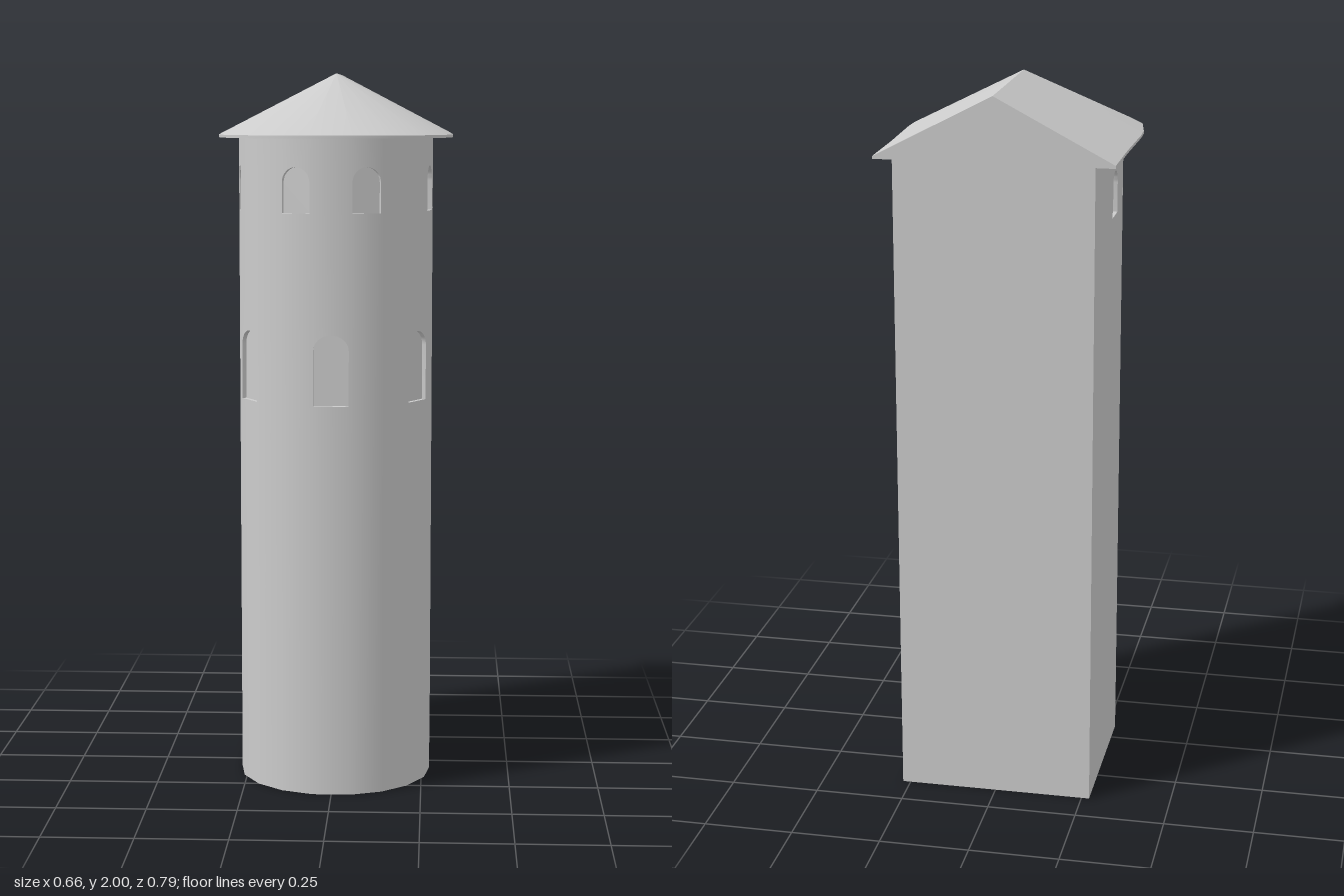
import * as THREE from 'three';
import { toCreasedNormals } from 'three/addons/utils/BufferGeometryUtils.js';

const BACK = -0.396, EAVE = 1.822, FASCIA = 0.008, RECESS = 0.012;
const wallMat = new THREE.MeshStandardMaterial({ color: 0xcccccc });
const revealMat = new THREE.MeshStandardMaterial({ color: 0xcccccc, side: THREE.DoubleSide });

// Plan outline [x, z], right back corner round the front to left back corner
const mirrored = (half) => [...half.map(([x, z]) => [-x, z]).reverse(), ...half];
const wallPlan = mirrored([[0.053, 0.345], [0.14, 0.312], [0.21, 0.252], [0.258, 0.167],
  [0.272, 0.073], [0.272, -0.015], [0.272, BACK]]);
const roofPlan = mirrored([[0.06, 0.396], [0.165, 0.357], [0.252, 0.285], [0.309, 0.186],
  [0.328, 0.08], [0.33, 0.02], [0.325, -0.2], [0.325, BACK]]);

function trianglesGeometry(tris) {
  const geo = new THREE.BufferGeometry();
  geo.setAttribute('position', new THREE.Float32BufferAttribute(tris.flat(2), 3));
  geo.computeVertexNormals();
  return geo;
}

// Round-headed window outline centred on u
function archPath(u, w, y0, y1) {
  const r = w / 2, spring = y1 - 0.042;
  const path = new THREE.Path();
  path.moveTo(u - r, y0);
  path.lineTo(u + r, y0);
  path.lineTo(u + r, spring);
  path.absellipse(u, spring, r, 0.042, 0, Math.PI, false);
  path.closePath();
  return path;
}

// Pane set back in the wall, with the reveal around it
function recessedWindow(arch) {
  const group = new THREE.Group();
  group.name = 'window';
  const pts = arch.getPoints(8);
  const pane = new THREE.Mesh(new THREE.ShapeGeometry(new THREE.Shape(pts)), wallMat);
  pane.name = 'windowPane';
  pane.position.z = -RECESS;
  const tris = [];
  pts.forEach((p, i) => {
    const q = pts[(i + 1) % pts.length];
    if (p.distanceTo(q) < 1e-6) return;
    const a = [p.x, p.y, 0], b = [q.x, q.y, 0], c = [q.x, q.y, -RECESS], d = [p.x, p.y, -RECESS];
    tris.push([a, c, b], [a, d, c]);
  });
  const reveal = new THREE.Mesh(toCreasedNormals(trianglesGeometry(tris), 0.6), revealMat);
  reveal.name = 'windowReveal';
  group.add(pane, reveal);
  return group;
}

// One upright wall panel from a to b; n0 and n1 are the shading normals at its ends
function wallPanel(a, b, n0, n1, windows) {
  const u = new THREE.Vector3(b[0] - a[0], 0, b[1] - a[1]);
  const len = u.length();
  u.normalize();
  const n = new THREE.Vector3(-u.z, 0, u.x);
  const shape = new THREE.Shape([[0, 0], [len, 0], [len, EAVE + 0.003], [0, EAVE + 0.003]]
    .map((p) => new THREE.Vector2(...p)));
  const arches = windows.map((w) => archPath(w.u ?? len / 2, w.w, w.y0, w.y1));
  shape.holes.push(...arches);
  const geo = new THREE.ShapeGeometry(shape, 8);
  const pos = geo.attributes.position, nor = geo.attributes.normal;
  for (let i = 0; i < pos.count; i++) {
    const v = n0.clone().lerp(n1, pos.getX(i) / len).normalize();
    nor.setXYZ(i, v.dot(u), 0, v.dot(n));
  }
  const group = new THREE.Group();
  group.name = 'wallPanel';
  const mesh = new THREE.Mesh(geo, wallMat);
  mesh.name = 'wallFace';
  group.add(mesh, ...arches.map(recessedWindow));
  group.applyMatrix4(new THREE.Matrix4().makeBasis(u, new THREE.Vector3(0, 1, 0), n)
    .setPosition(a[0], 0, a[1]));
  return group;
}

function buildWalls() {
  const walls = new THREE.Group();
  walls.name = 'towerWalls';
  const count = wallPlan.length;
  const faceNormal = (i) => {
    const a = wallPlan[i], b = wallPlan[(i + 1) % count];
    return new THREE.Vector3(a[1] - b[1], 0, b[0] - a[0]).normalize();
  };
  const mid = (count - 2) / 2; // front panel
  const upper = { w: 0.082, y0: 1.62, y1: 1.745 };
  const lower = { w: 0.097, y0: 1.095, y1: 1.29 };
  for (let i = 0; i < count; i++) {
    const a = wallPlan[i], b = wallPlan[(i + 1) % count];
    const n = faceNormal(i), back = i === count - 1;
    const n0 = back || i === 0 ? n : n.clone().add(faceNormal(i - 1)).normalize();
    const n1 = back || i === count - 2 ? n : n.clone().add(faceNormal(i + 1)).normalize();
    const step = Math.abs(i - mid), windows = [];
    if (step === 0) windows.push(lower);
    if (step === 3) windows.push({ ...lower, w: 0.094 });
    if (step === 1 || step === 4) windows.push(upper);
    if (step === 6) windows.push({ ...upper, u: i > mid ? 0.045 : Math.abs(b[1] - a[1]) - 0.045 });
    walls.add(wallPanel(a, b, n0, n1, windows));
  }
  // Floor closing the underside
  const floor = new THREE.Mesh(new THREE.ShapeGeometry(
    new THREE.Shape(wallPlan.map(([x, z]) => new THREE.Vector2(x, z)))), wallMat);
  floor.name = 'floor';
  floor.rotation.x = Math.PI / 2;
  walls.add(floor);
  return walls;
}

// Half-cone front running into a gabled ridge, with fascia and soffit
function buildRoof() {
  const tris = [], top = EAVE + FASCIA;
  const ridge = (z) => [0, 2, Math.min(z, 0.02)];
  for (let i = 0; i < roofPlan.length; i++) {
    const [ax, az] = roofPlan[i], [bx, bz] = roofPlan[(i + 1) % roofPlan.length];
    const a = [ax, top, az], b = [bx, top, bz];
    const al = [ax, EAVE, az], bl = [bx, EAVE, bz];
    const ra = ridge(az), rb = ridge(bz);
    tris.push([al, bl, b], [al, b, a]);
    tris.push([bl, al, [0, EAVE, 0]]);
    tris.push([a, b, rb]);
    if (ra[2] !== rb[2]) tris.push([a, rb, ra]);
  }
  const roof = new THREE.Mesh(toCreasedNormals(trianglesGeometry(tris), 0.6), wallMat);
  roof.name = 'roof';
  return roof;
}

export function createModel() {
  const model = new THREE.Group();
  model.name = 'tower';
  model.add(buildWalls(), buildRoof());
  return model;
}
